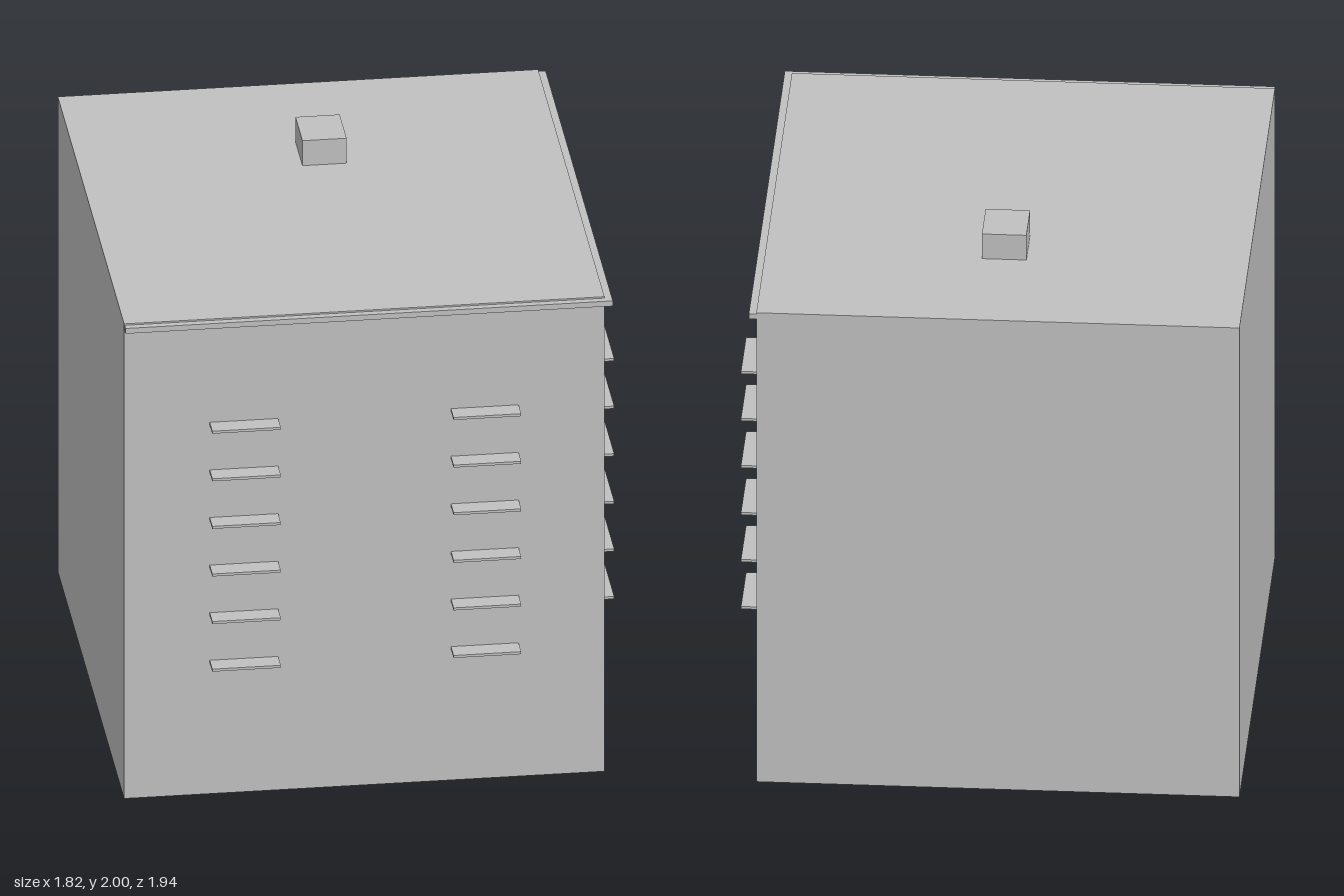
import * as THREE from 'three';

export function createModel() {
  const group = new THREE.Group();
  const grey = new THREE.MeshStandardMaterial({ color: 0xc0c0c0 });
  grey.name = 'grey metal';
  grey.side = THREE.DoubleSide;

  // Box given by its extents on each axis
  function block(name, [x0, x1], [y0, y1], [z0, z1], parent = group) {
    const mesh = new THREE.Mesh(new THREE.BoxGeometry(x1 - x0, y1 - y0, z1 - z0), grey);
    mesh.position.set((x0 + x1) / 2, (y0 + y1) / 2, (z0 + z1) / 2);
    mesh.name = name;
    parent.add(mesh);
    return mesh;
  }

  // Hollow body: a thin shell without a floor
  const right = 0.83, front = 0.897;
  const body = block('body', [-0.91, right], [0, 1.9], [-0.97, front]);
  const index = Array.from(body.geometry.index.array);
  index.splice(18, 6); // drop the bottom face
  body.geometry.setIndex(index);
  body.geometry.clearGroups();

  // Lid lip overhanging the two louvred sides
  block('lidLip', [-0.908, 0.857], [1.873, 1.894], [-0.968, 0.923]);

  // Small cap on the roof
  block('roofCap', [-0.11, 0.05], [1.9, 2], [-0.495, -0.3]);

  // Two columns of louvres on the front and on the +x side
  const louvres = new THREE.Group();
  louvres.name = 'louvres';
  group.add(louvres);
  for (let i = 0; i < 6; i++) {
    const y = 0.524 + i * 0.1905;
    const ys = [y, y + 0.01];
    for (const xs of [[-0.6, -0.352], [0.274, 0.519]])
      block('frontLouvre', xs, ys, [front, 0.97], louvres);
    for (const zs of [[-0.637, -0.371], [0.3, 0.566]])
      block('sideLouvre', [right, 0.908], ys, zs, louvres);
  }

  return group;
}
